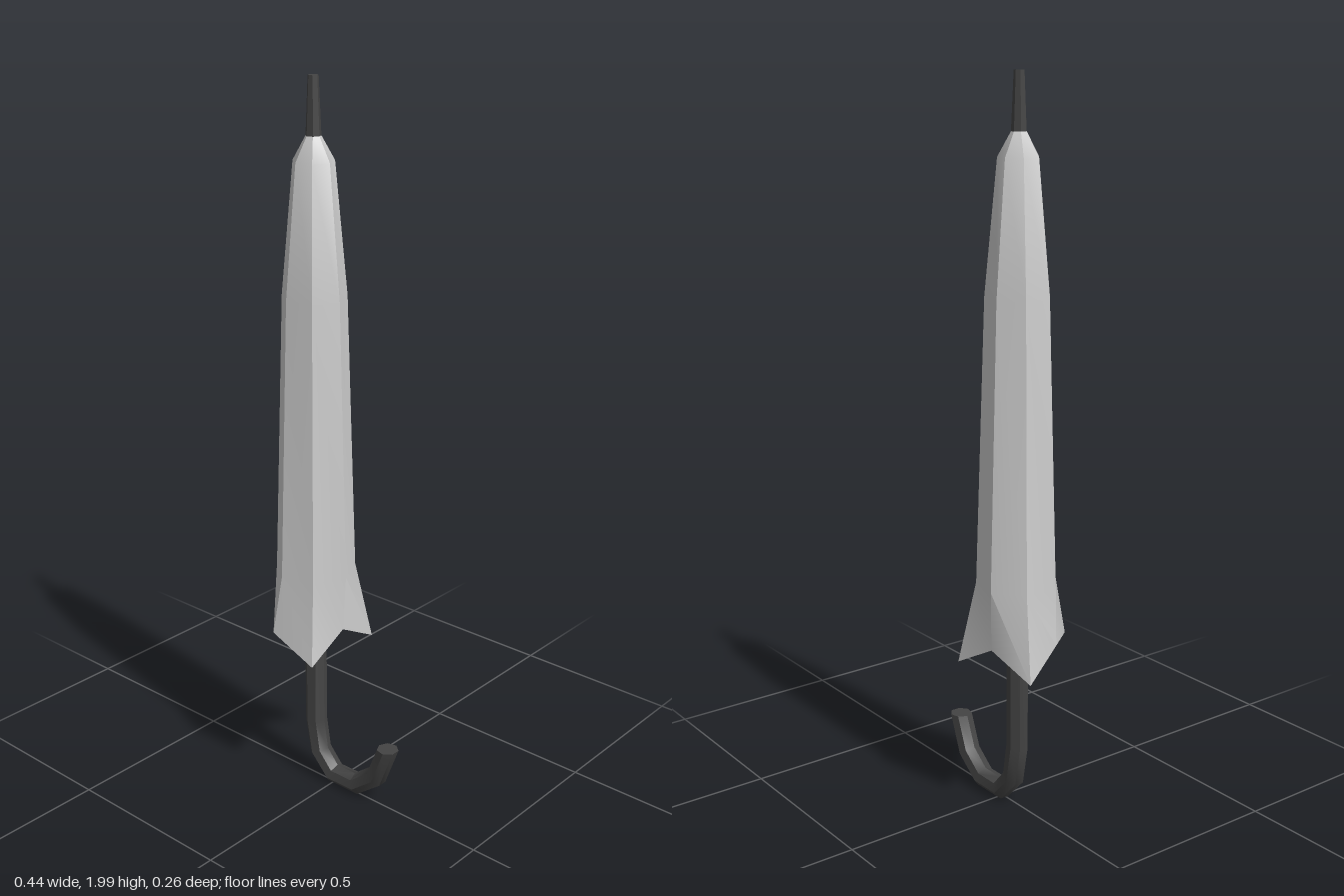
import * as THREE from 'three';
import { toCreasedNormals } from 'three/addons/utils/BufferGeometryUtils.js';

const SIDES = 7;
const AXIS_X = -0.075, AXIS_Z = -0.006;
const angle = (k) => (k / SIDES) * Math.PI * 2;

// Skin a list of closed rings (first ring to last), optionally capping both ends
function loft(rings, capped) {
  const pos = [];
  const tri = (...pts) => pts.forEach((p) => pos.push(p.x, p.y, p.z));
  for (let i = 0; i < rings.length - 1; i++) {
    for (let j = 0; j < SIDES; j++) {
      const n = (j + 1) % SIDES;
      const a = rings[i][j], b = rings[i][n], c = rings[i + 1][j], d = rings[i + 1][n];
      tri(a, b, c);
      tri(b, d, c);
    }
  }
  if (capped) {
    const first = rings[0], last = rings[rings.length - 1];
    for (let j = 1; j < SIDES - 1; j++) {
      tri(first[0], first[j + 1], first[j]);
      tri(last[0], last[j], last[j + 1]);
    }
  }
  const geo = new THREE.BufferGeometry();
  geo.setAttribute('position', new THREE.Float32BufferAttribute(pos, 3));
  return toCreasedNormals(geo, 0.6);
}

// Horizontal ring around the umbrella's axis
function axisRing(radius, y) {
  return Array.from({ length: SIDES }, (_, k) => new THREE.Vector3(
    AXIS_X + radius * Math.cos(angle(k)), y, AXIS_Z + radius * Math.sin(angle(k))));
}

// Ring across a path lying in the x-y plane
function pathRing([x, y], tx, ty, radius) {
  const len = Math.hypot(tx, ty);
  return Array.from({ length: SIDES }, (_, k) => {
    const c = radius * Math.cos(angle(k)), s = radius * Math.sin(angle(k));
    return new THREE.Vector3(x - (ty / len) * c, y + (tx / len) * c, AXIS_Z + s);
  });
}

export function createModel() {
  const model = new THREE.Group();
  const cloth = new THREE.MeshStandardMaterial({ color: 0xcccccc, side: THREE.DoubleSide });
  const dark = new THREE.MeshStandardMaterial({ color: 0x444444 });
  const add = (name, geo, mat) => {
    const mesh = new THREE.Mesh(geo, mat);
    mesh.name = name;
    model.add(mesh);
  };

  // Furled canopy: tapering rings, ending in an uneven hem with three flared tips
  const hem = [
    [0.028, 0.51, -0.004], [0.025, 0.44, 0.121], [-0.11, 0.505, 0.13], [-0.18, 0.51, 0.043],
    [-0.222, 0.44, -0.077], [-0.103, 0.51, -0.116], [0.025, 0.44, -0.133],
  ].map((p) => new THREE.Vector3(...p));
  const canopy = [[0.019, 1.855], [0.055, 1.79], [0.088, 1.44], [0.112, 0.67]]
    .map(([r, y]) => axisRing(r, y));
  add('canopy', loft([...canopy, hem], false), cloth);

  // Tip above the canopy
  add('ferrule', loft([axisRing(0.014, 2), axisRing(0.021, 1.84)], true), dark);

  // Shaft and hooked handle in one bent rod
  const path = [
    [AXIS_X, 1.3], [AXIS_X, 0.19], [-0.058, 0.091], [-0.005, 0.034],
    [0.083, 0.034], [0.152, 0.088], [0.192, 0.192],
  ];
  const rod = path.map((p, i) => {
    const prev = path[i - 1], next = path[i + 1];
    const dir = (a, b) => new THREE.Vector2(b[0] - a[0], b[1] - a[1]).normalize();
    const t = new THREE.Vector2();
    if (prev) t.add(dir(prev, p));
    if (next) t.add(dir(p, next));
    else t.set(0, 1); // the hook ends in a level cut
    return pathRing(p, t.x, t.y, 0.031);
  });
  add('shaftAndHandle', loft(rod, true), dark);

  return model;
}
